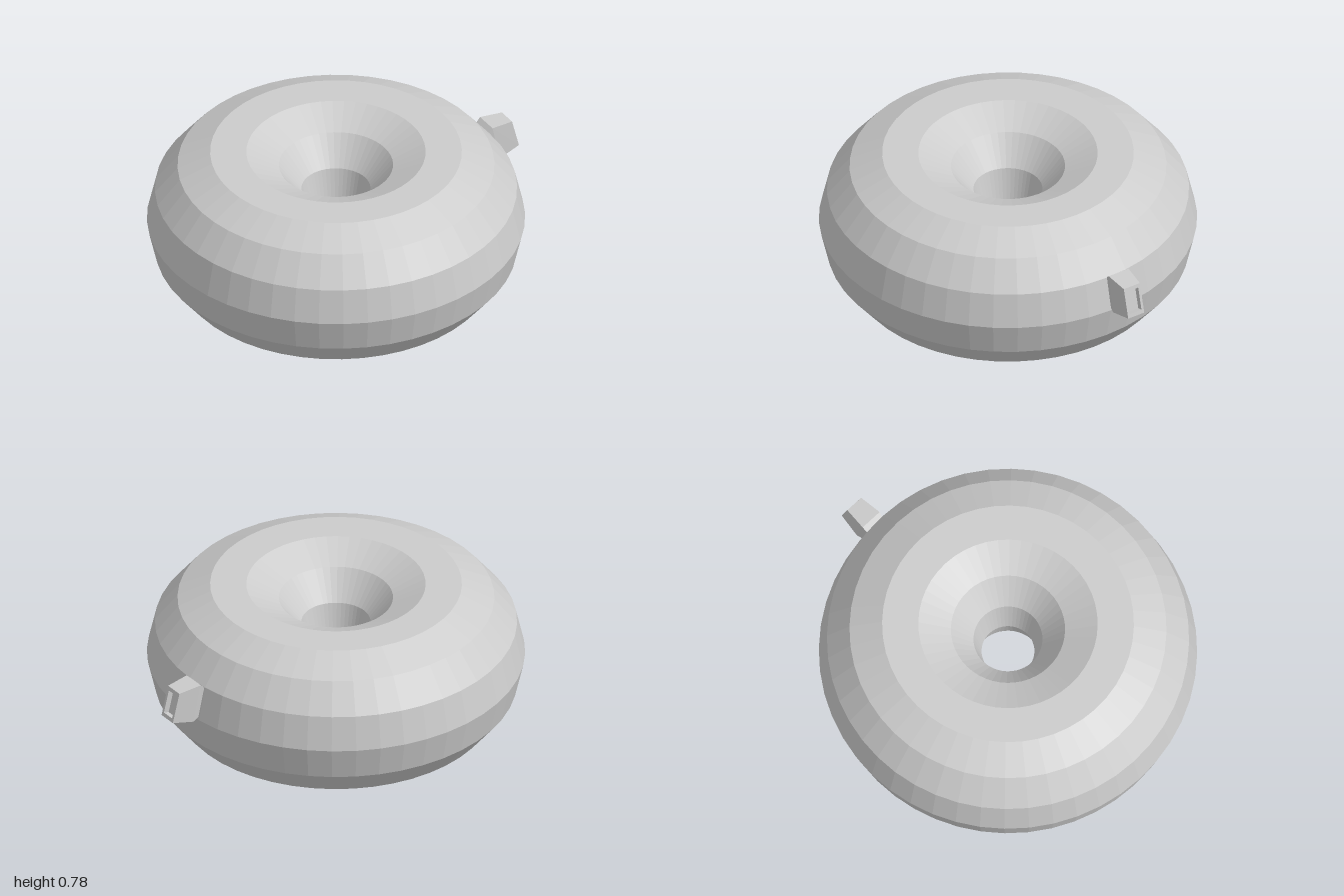
import * as THREE from 'three';

const material = new THREE.MeshStandardMaterial({ color: 0xcccccc, flatShading: true });

// Each section: [topX, topY, bottomX, bottomY, halfDepth], joined from base to recess floor.
function loftSections(sections, centreZ) {
  const positions = [];
  const loops = sections.map(([tx, ty, bx, by, h]) => [
    [bx, by, centreZ + h], [bx, by, centreZ - h],
    [tx, ty, centreZ - h], [tx, ty, centreZ + h],
  ]);
  const quad = (a, b, c, d) => positions.push(...a, ...b, ...c, ...a, ...c, ...d);
  for (let i = 0; i < loops.length - 1; i++) {
    for (let k = 0; k < 4; k++) {
      const n = (k + 1) % 4;
      quad(loops[i][k], loops[i][n], loops[i + 1][n], loops[i + 1][k]);
    }
  }
  quad(...loops[loops.length - 1]);
  quad(...[...loops[0]].reverse());
  const geometry = new THREE.BufferGeometry();
  geometry.setAttribute('position', new THREE.Float32BufferAttribute(positions, 3));
  geometry.computeVertexNormals();
  return geometry;
}

export function createModel() {
  const group = new THREE.Group();
  group.name = 'inflatableRing';

  // Faceted ring lying flat
  const ring = new THREE.Mesh(new THREE.TorusGeometry(0.53, 0.4, 14, 48), material);
  ring.geometry.rotateX(Math.PI / 2);
  ring.position.set(-0.07, 0.39, 0);
  ring.name = 'ring';
  group.add(ring);

  // Tapered valve on the left side, with a shallow recess in its tip
  const valve = new THREE.Mesh(loftSections([
    [0.78, 0.53, 0.82, 0.42, 0.05],
    [0.84, 0.585, 0.88, 0.39, 0.058],
    [0.96, 0.575, 1.0, 0.42, 0.047],
    [0.965, 0.556, 0.995, 0.439, 0.034],
    [0.936, 0.548, 0.966, 0.431, 0.034],
  ], -0.057), material);
  valve.name = 'valve';
  group.add(valve);

  return group;
}
